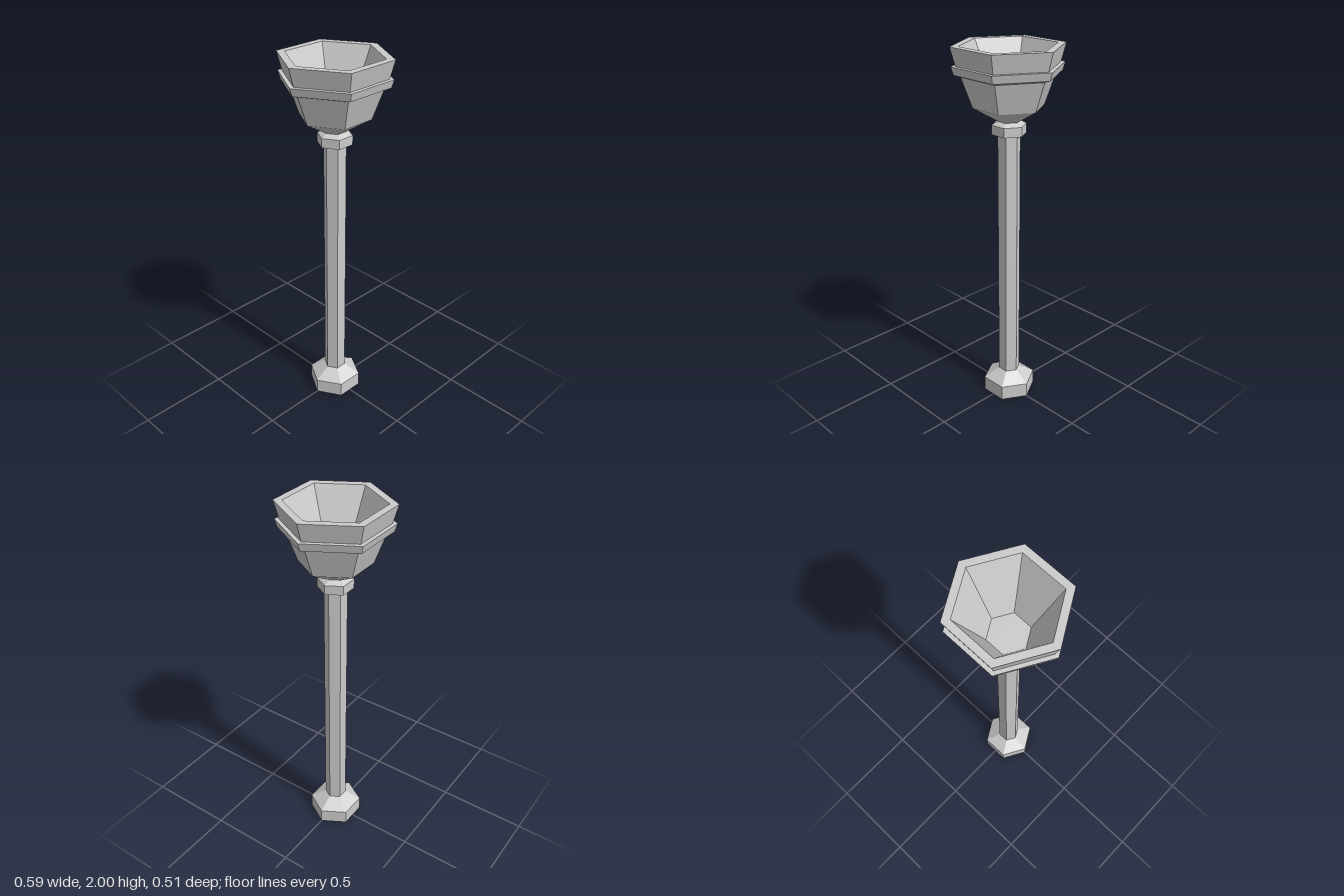
import * as THREE from 'three';

export function createModel() {
  const group = new THREE.Group();
  const material = new THREE.MeshStandardMaterial({ color: 0xcccccc, flatShading: true });

  // Six-sided turned part with corners on the x axis; profile is [radius, y] from the underside outwards and up
  function hexPart(name, profile) {
    const points = profile.map(([r, y]) => new THREE.Vector2(r, y));
    const mesh = new THREE.Mesh(new THREE.LatheGeometry(points, 6, Math.PI / 2), material);
    mesh.name = name;
    group.add(mesh);
  }

  // Foot with a hollow underside and a chamfered top
  hexPart('foot', [[0, 0.08], [0.06, 0.08], [0.147, 0], [0.147, 0.083], [0.06, 0.137], [0, 0.137]]);

  // Long straight post
  hexPart('post', [[0, 0.1], [0.06, 0.1], [0.06, 1.6], [0, 1.6]]);

  // Collar under the bowl, hollow below like the foot
  hexPart('collar', [[0.058, 1.585], [0.093, 1.55], [0.093, 1.6], [0.055, 1.62], [0, 1.62]]);

  // Bowl: tapered underside, flared wall, rim and recessed inside
  hexPart('bowl', [
    [0, 1.615], [0.055, 1.615], [0.188, 1.693], [0.245, 1.85], [0.268, 1.9],
    [0.296, 2], [0.252, 2], [0.108, 1.7], [0, 1.7],
  ]);

  // Projecting band around the bowl
  hexPart('bowlBand', [[0.24, 1.85], [0.245, 1.85], [0.28, 1.862], [0.293, 1.904], [0.264, 1.904]]);

  return group;
}
